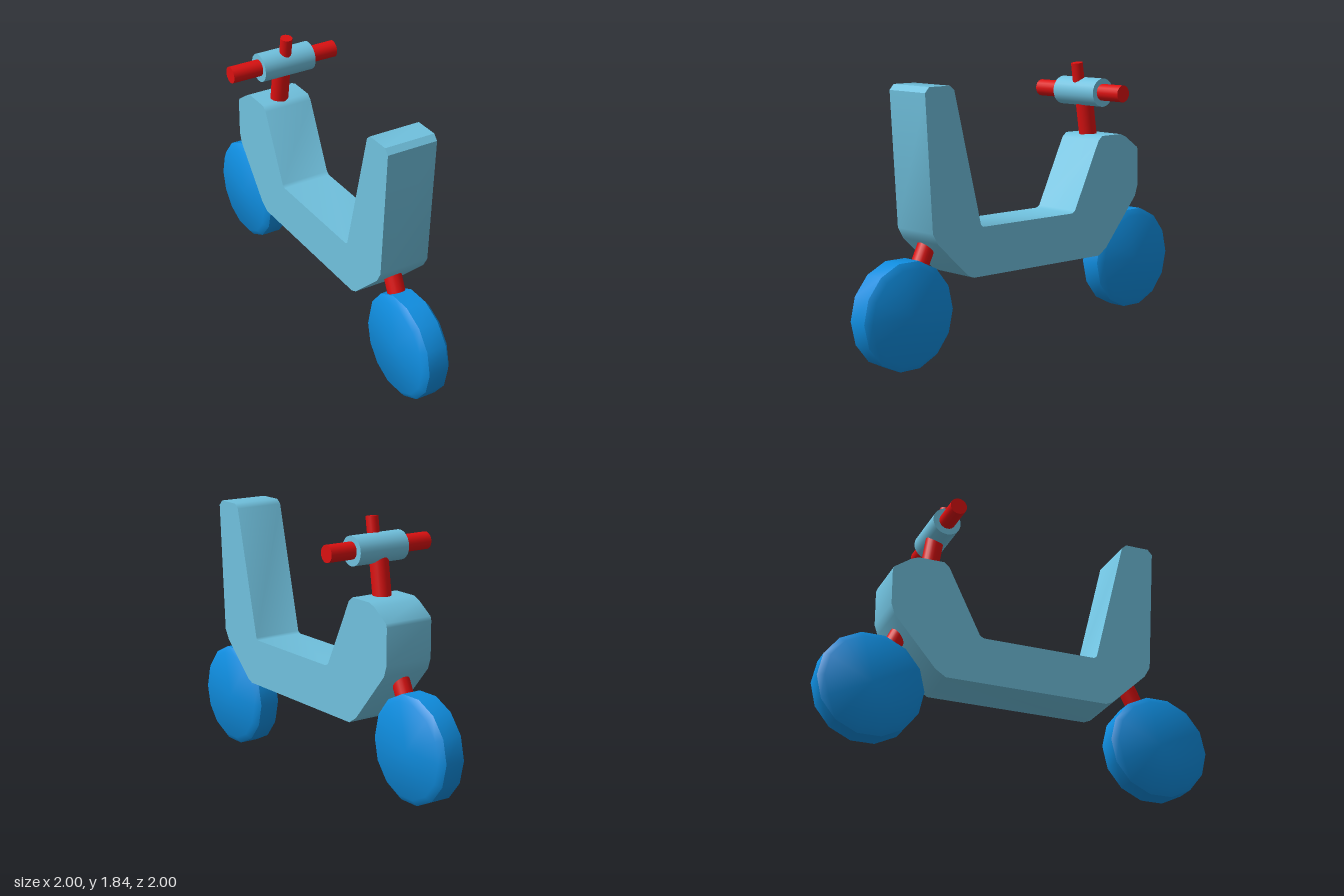
import * as THREE from 'three';
import { toCreasedNormals } from 'three/addons/utils/BufferGeometryUtils.js';

const mat = (name, color) => {
  const m = new THREE.MeshStandardMaterial({ color });
  m.name = name;
  return m;
};

export function createModel() {
  const paleBlue = mat('paleBlue', 0x70c1de);
  const blue = mat('wheelBlue', 0x0f8ddf);
  const red = mat('red', 0xdb1010);

  // Built along its own x axis, then turned to stand diagonally
  const scooter = new THREE.Group();
  scooter.name = 'scooter';
  scooter.rotation.y = -Math.PI / 4;

  const add = (name, geo, material) => {
    const m = new THREE.Mesh(geo, material);
    m.name = name;
    scooter.add(m);
    return m;
  };

  // Cylinder between two points
  const rod = (name, from, to, r, material, sides = 20) => {
    const a = new THREE.Vector3(...from), b = new THREE.Vector3(...to);
    const m = add(name, new THREE.CylinderGeometry(r, r, a.distanceTo(b), sides), material);
    m.position.copy(a).add(b).multiplyScalar(0.5);
    m.quaternion.setFromUnitVectors(new THREE.Vector3(0, 1, 0), b.sub(a).normalize());
  };

  // Body: side profile with softened corners, extruded across the width
  const profile = [
    [-0.54, 0.545], [0.575, 0.545], [0.622, 0.565], [0.865, 0.79], [0.905, 0.86],
    [0.957, 1.725], [0.925, 1.76], [0.76, 1.76], [0.727, 1.73],
    [0.515, 0.875], [0.495, 0.86], [-0.285, 0.86], [-0.312, 0.875],
    [-0.53, 1.325], [-0.565, 1.355], [-0.74, 1.355], [-0.79, 1.335],
    [-0.905, 1.255], [-0.913, 1.23], [-0.913, 0.99], [-0.89, 0.92], [-0.61, 0.59],
  ];
  const shape = new THREE.Shape(profile.map(([x, y]) => new THREE.Vector2(x, y)));
  const body = new THREE.ExtrudeGeometry(shape, { depth: 0.345, bevelEnabled: false });
  body.translate(0, 0, -0.19);
  add('body', toCreasedNormals(body, 0.8), paleBlue);

  // Wheels with bevelled rims
  const rim = [[0, -0.1], [0.308, -0.1], [0.349, -0.068], [0.349, 0.068], [0.308, 0.1], [0, 0.1]];
  const lathe = new THREE.LatheGeometry(rim.map(([r, y]) => new THREE.Vector2(r, y)), 14);
  lathe.rotateY(Math.PI / 2).rotateX(Math.PI / 2);
  const wheel = toCreasedNormals(lathe, 0.8);
  for (const [name, s, y] of [['front', 1, 0.34], ['rear', -1, 0.46]]) {
    add(name + 'Wheel', wheel, blue).position.set(s * 0.997, y, 0);
    rod(name + 'Fork', [s * 0.78, y + 0.46, 0], [s * 0.95, y + 0.11, 0], 0.058, red);
  }

  // Steering column, handlebar and knob
  rod('steeringColumn', [-0.63, 1.28, 0], [-0.573, 1.65, 0], 0.06, red);
  rod('handlebar', [-0.56, 1.648, -0.383], [-0.56, 1.648, 0.392], 0.056, red);
  rod('handlebarSleeve', [-0.562, 1.645, -0.195], [-0.562, 1.645, 0.18], 0.095, paleBlue, 24);
  rod('topKnob', [-0.537, 1.66, 0], [-0.51, 1.838, 0], 0.04, red);

  const model = new THREE.Group();
  model.name = 'model';
  model.add(scooter);
  return model;
}
